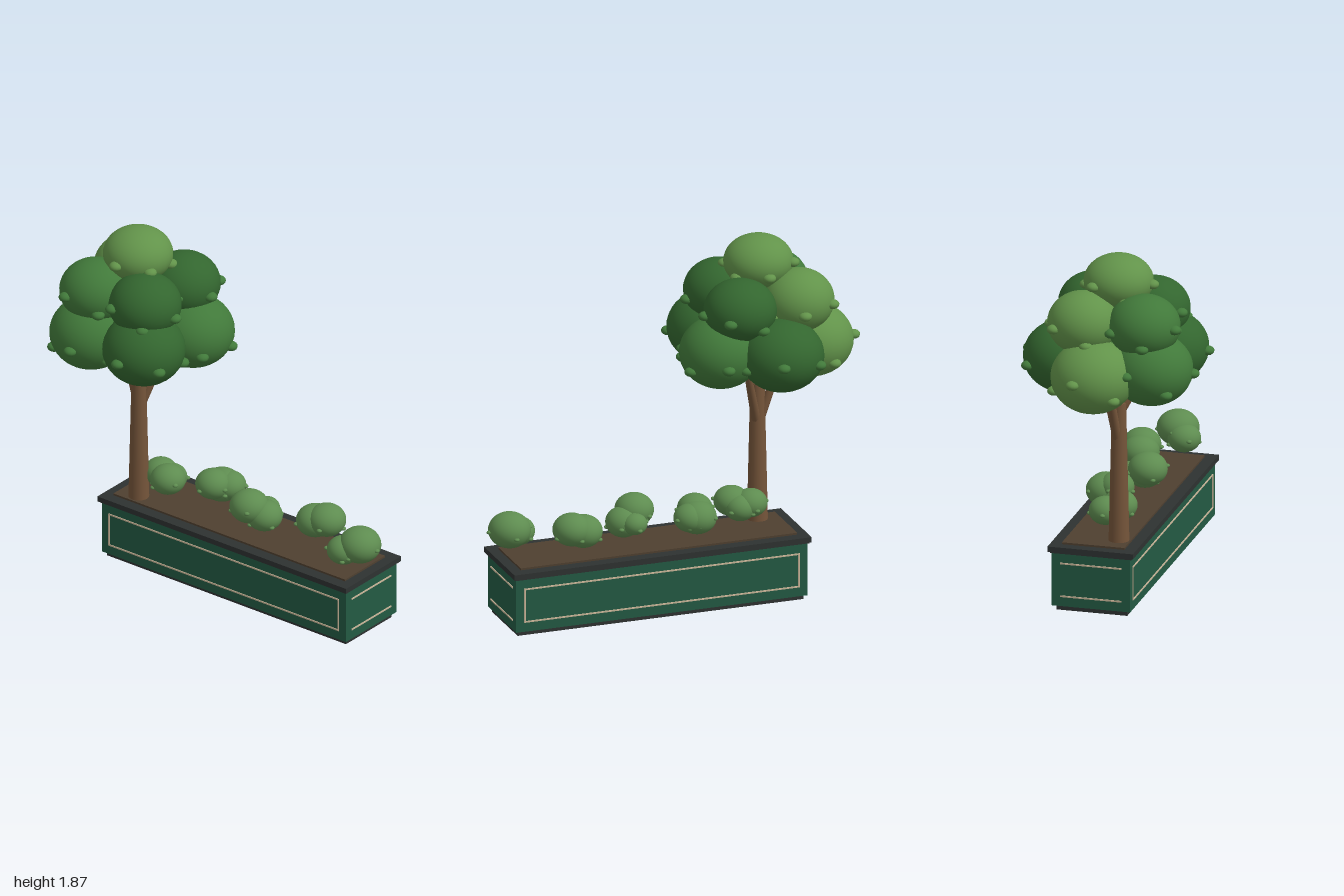
import * as THREE from 'three';

const mat = (color) => new THREE.MeshStandardMaterial({ color });
const M = {
  panel: mat(0x235a43), frame: mat(0x2e3231), trim: mat(0xcbb79a), soil: mat(0x4f4030),
  bark: mat(0x75553a), dark: mat(0x33662f), mid: mat(0x41793a), light: mat(0x62934a), bush: mat(0x5e8c50),
};
const CX = 0.0625, CZ = 0.135; // planter centre
const TREE = [-0.04, -0.49]; // trunk x, z

function add(parent, name, geometry, material, x = 0, y = 0, z = 0) {
  const m = new THREE.Mesh(geometry, material);
  m.name = name;
  m.position.set(x, y, z);
  parent.add(m);
  return m;
}

function box(parent, name, material, w, y0, y1, d, x = CX, z = CZ) {
  return add(parent, name, new THREE.BoxGeometry(w, y1 - y0, d), material, x, (y0 + y1) / 2, z);
}

// Tapered round limb between two points
function limb(parent, name, a, b, r0, r1) {
  const p = new THREE.Vector3(...a), q = new THREE.Vector3(...b);
  const dir = q.clone().sub(p);
  const m = add(parent, name, new THREE.CylinderGeometry(r1, r0, dir.length(), 16), M.bark);
  m.position.copy(p).add(q).multiplyScalar(0.5);
  m.quaternion.setFromUnitVectors(new THREE.Vector3(0, 1, 0), dir.normalize());
}

const ball = new THREE.SphereGeometry(1, 32, 20);
const smallBall = new THREE.SphereGeometry(1, 14, 10);

// Flattened leaf ball with a ring of small tufts near its equator
function leafBall(parent, name, [x, y, z], r, ry, material, tuftMaterial, tufts, tuftSize, phase) {
  const g = new THREE.Group();
  g.name = name;
  g.position.set(x, y, z);
  add(g, 'leaves', ball, material).scale.set(r, ry, r);
  for (let i = 0; i < tufts; i++) {
    const a = phase + (i / tufts) * Math.PI * 2;
    const lift = -0.2 + 0.28 * Math.sin(i * 2.4 + phase * 3);
    const c = Math.sqrt(1 - lift * lift);
    const t = add(g, 'tuft', smallBall, tuftMaterial, Math.cos(a) * c * r, lift * ry, Math.sin(a) * c * r);
    t.scale.set(tuftSize, tuftSize * 0.7, tuftSize);
  }
  parent.add(g);
}

function buildPlanter() {
  const g = new THREE.Group();
  g.name = 'planter';
  box(g, 'base', M.frame, 0.37, 0, 0.03, 1.53);
  box(g, 'body', M.panel, 0.41, 0.025, 0.31, 1.56);
  box(g, 'lowerRim', M.frame, 0.425, 0.305, 0.315, 1.575);
  box(g, 'rim', M.frame, 0.445, 0.312, 0.34, 1.59);
  box(g, 'soil', M.soil, 0.325, 0.33, 0.35, 1.48);
  // Thin pale trim: full rectangles on the long sides, two lines on the ends
  for (const s of [-1, 1]) {
    const x = CX + s * 0.205, z = CZ + s * 0.78;
    for (const y of [0.078, 0.252]) {
      box(g, 'sideTrim', M.trim, 0.008, y - 0.004, y + 0.004, 1.475, x);
      box(g, 'endTrim', M.trim, 0.32, y - 0.004, y + 0.004, 0.008, CX, z);
    }
    for (const e of [-1, 1]) {
      box(g, 'sideTrimUpright', M.trim, 0.008, 0.078, 0.252, 0.008, x, CZ + e * 0.7335);
    }
  }
  return g;
}

function buildTree() {
  const g = new THREE.Group();
  g.name = 'tree';
  const [tx, tz] = TREE;
  limb(g, 'trunk', [tx, 0.34, tz], [tx, 1.08, tz], 0.053, 0.036);
  limb(g, 'branch', [-0.03, 0.88, -0.48], [0.09, 1.24, -0.38], 0.024, 0.017);
  limb(g, 'branch', [-0.04, 1.02, -0.48], [-0.17, 1.26, -0.42], 0.024, 0.017);
  limb(g, 'branch', [-0.035, 0.88, -0.5], [-0.02, 1.25, -0.63], 0.024, 0.017);

  // Crown: five low balls, four in the middle, one on top
  const crown = [
    [[0.23, 1.315, -0.52], 0.215, 0.185, M.dark],
    [[0.09, 1.32, -0.245], 0.21, 0.185, M.mid],
    [[-0.24, 1.335, -0.3], 0.21, 0.185, M.dark],
    [[-0.25, 1.325, -0.63], 0.21, 0.185, M.mid],
    [[0.02, 1.3, -0.755], 0.215, 0.187, M.light],
    [[0.13, 1.545, -0.335], 0.185, 0.16, M.dark],
    [[-0.18, 1.55, -0.34], 0.185, 0.16, M.dark],
    [[-0.21, 1.55, -0.63], 0.185, 0.16, M.mid],
    [[0.1, 1.55, -0.66], 0.18, 0.16, M.light],
    [[-0.04, 1.73, -0.495], 0.177, 0.137, M.light],
  ];
  crown.forEach(([p, r, ry, m], i) =>
    leafBall(g, 'crownBall', p, r, ry, m, m === M.light ? M.light : M.mid, 6, 0.034, i * 0.9 + 0.3));
  return g;
}

function buildBushes() {
  // Each ball: x, y, z, radius
  const bushes = [
    [[0.035, 0.49, 0.865, 0.108], [-0.015, 0.46, 0.8, 0.085]],
    [[0.14, 0.49, 0.57, 0.098], [0.13, 0.47, 0.505, 0.098]],
    [[0, 0.5, 0.185, 0.1], [0.035, 0.455, 0.255, 0.092], [0.1, 0.46, 0.22, 0.065]],
    [[0.14, 0.47, -0.1, 0.1], [0.08, 0.495, -0.11, 0.09], [0.15, 0.475, -0.06, 0.085]],
    [[0, 0.48, -0.335, 0.09], [0.05, 0.475, -0.42, 0.085], [0.06, 0.46, -0.36, 0.08]],
  ];
  const g = new THREE.Group();
  g.name = 'bushes';
  bushes.forEach((balls, i) => {
    const bush = new THREE.Group();
    bush.name = 'bush';
    balls.forEach(([x, y, z, r], j) =>
      leafBall(bush, 'bushBall', [x, y, z], r, r * 0.85, M.bush, M.bush, 4, 0.014, i * 1.3 + j));
    g.add(bush);
  });
  return g;
}

export function createModel() {
  const model = new THREE.Group();
  model.name = 'planterWithTree';
  model.add(buildPlanter(), buildTree(), buildBushes());
  return model;
}
